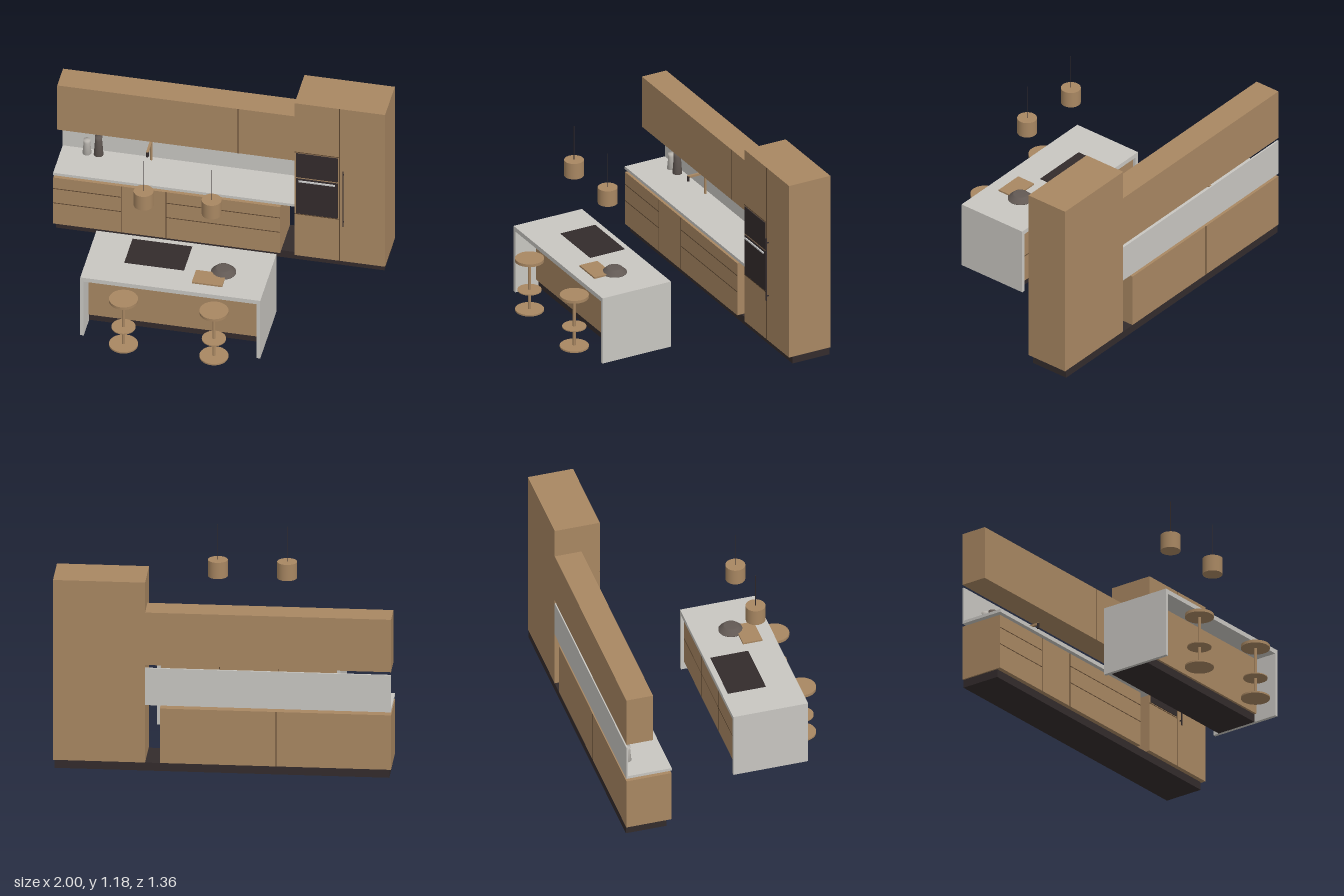
import * as THREE from 'three';

export function createModel() {
  const root = new THREE.Group();
  const mat = (name, color, extra = {}) => {
    const m = new THREE.MeshStandardMaterial({ color, ...extra });
    m.name = name;
    return m;
  };
  const wood = mat('wood', 0xa88762);
  const seam = mat('seam', 0x5c4630);
  const stone = mat('stone', 0xc8c6c1);
  const dark = mat('dark', 0x332b2c);
  const clay = mat('clay', 0x625954);
  const ceramic = mat('ceramic', 0xb8b4ae);
  const steel = mat('steel', 0xc9c9c9);

  const add = (name, geometry, material, parent = root) => {
    const mesh = new THREE.Mesh(geometry, material);
    mesh.name = name;
    parent.add(mesh);
    return mesh;
  };
  // Box given by its minimum and maximum on each axis
  const box = (name, m, x0, x1, y0, y1, z0, z1, parent = root) => {
    const mesh = add(name, new THREE.BoxGeometry(x1 - x0, y1 - y0, z1 - z0), m, parent);
    mesh.position.set((x0 + x1) / 2, (y0 + y1) / 2, (z0 + z1) / 2);
    return mesh;
  };
  // Upright cylinder or cone standing between two heights
  const cyl = (name, m, x, z, y0, y1, rBottom, rTop = rBottom, parent = root) => {
    const mesh = add(name, new THREE.CylinderGeometry(rTop, rBottom, y1 - y0, 32), m, parent);
    mesh.position.set(x, (y0 + y1) / 2, z);
    return mesh;
  };
  // Thin joint lines lying on a face at depth z
  const T = 0.0025, D = 0.001;
  const vSeam = (x, y0, y1, z) => box('verticalJoint', seam, x - T, x + T, y0, y1, z - D, z + D);
  const hSeam = (y, x0, x1, z) => box('horizontalJoint', seam, x0, x1, y - T, y + T, z - D, z + D);

  // Wall run: plinth, base cabinets, worktop, splashback and wall cabinets
  box('wallPlinth', dark, -0.99, 0.99, 0, 0.05, -0.68, -0.43);
  box('baseCabinetLeft', wood, -1, -0.32, 0.05, 0.393, -0.68, -0.402);
  box('baseCabinetRight', wood, -0.32, 0.368, 0.05, 0.393, -0.68, -0.402);
  box('worktop', stone, -1, 0.455, 0.412, 0.43, -0.68, -0.4);
  box('splashback', stone, -1, 0.455, 0.43, 0.645, -0.68, -0.67);
  box('wallCabinets', wood, -1, 0.455, 0.665, 0.995, -0.68, -0.515);
  vSeam(-0.59, 0.05, 0.393, -0.402);
  vSeam(-0.32, 0.05, 0.393, -0.402);
  vSeam(-0.32, 0.05, 0.393, -0.68);
  for (const y of [0.205, 0.312]) {
    hSeam(y, -1, -0.59, -0.402);
    hSeam(y, -0.32, 0.368, -0.402);
  }
  vSeam(0.09, 0.665, 0.995, -0.515);

  // Tall units with built-in ovens
  box('tallUnit', wood, 0.455, 1, 0.05, 1.183, -0.68, -0.402);
  vSeam(0.725, 0.05, 1.183, -0.402);
  hSeam(0.82, 0.455, 0.725, -0.402);
  hSeam(0.36, 0.455, 0.725, -0.402);
  box('upperOven', dark, 0.465, 0.715, 0.637, 0.813, -0.404, -0.397);
  box('lowerOven', dark, 0.465, 0.715, 0.367, 0.626, -0.404, -0.397);
  box('ovenHandle', steel, 0.48, 0.7, 0.607, 0.616, -0.397, -0.389);
  cyl('tallHandle', dark, 0.75, -0.387, 0.32, 0.73, 0.004);
  for (const y of [0.35, 0.7]) box('handleMount', dark, 0.747, 0.753, y - 0.003, y + 0.003, -0.402, -0.387);

  // Tap
  const tap = new THREE.Group();
  tap.name = 'tap';
  root.add(tap);
  cyl('tapPost', wood, -0.46, -0.645, 0.43, 0.575, 0.008, 0.008, tap);
  box('tapSpout', wood, -0.467, -0.453, 0.562, 0.575, -0.645, -0.525, tap);
  cyl('tapNozzle', dark, -0.46, -0.53, 0.54, 0.573, 0.0085, 0.0085, tap);

  // Bottles on the worktop
  const bottle = (name, m, x, h, r) => {
    const pts = [[0, 0], [r, 0], [r * 0.72, h * 0.8], [r * 0.78, h], [0, h]];
    const mesh = add(name, new THREE.LatheGeometry(pts.map(p => new THREE.Vector2(...p)), 24), m);
    mesh.position.set(x, 0.43, -0.63);
  };
  bottle('paleBottle', ceramic, -0.845, 0.1, 0.027);
  bottle('darkBottle', clay, -0.775, 0.135, 0.029);

  // Island with stone ends
  box('islandTop', stone, -0.635, 0.45, 0.402, 0.43, 0.09, 0.55);
  box('islandEndRight', stone, -0.635, -0.614, 0, 0.402, 0.09, 0.55);
  box('islandEndLeft', stone, 0.429, 0.45, 0, 0.402, 0.09, 0.55);
  box('islandBody', wood, -0.614, 0.429, 0.05, 0.402, 0.11, 0.41);
  box('islandPlinth', dark, -0.614, 0.429, 0, 0.05, 0.13, 0.395);
  for (const i of [1, 2]) vSeam(-0.614 + i * 1.043 / 3, 0.05, 0.402, 0.11);
  hSeam(0.225, -0.614, 0.429, 0.11);
  box('cooktop', dark, -0.41, -0.05, 0.43, 0.433, 0.125, 0.358);
  box('choppingBoard', wood, 0.02, 0.203, 0.43, 0.44, 0.348, 0.468);

  // Bowl, wide below and narrow above
  const bowlPts = [[0, 0], [0.075, 0], [0.075, 0.003], [0.047, 0.03], [0.04, 0.033], [0, 0.033]];
  add('bowl', new THREE.LatheGeometry(bowlPts.map(p => new THREE.Vector2(...p)), 32), clay)
    .position.set(0.18, 0.43, 0.322);

  // Stools
  for (const x of [-0.365, 0.18]) {
    const stool = new THREE.Group();
    stool.name = 'stool';
    root.add(stool);
    cyl('stoolBase', wood, x, 0.592, 0.004, 0.014, 0.086, 0.086, stool);
    cyl('stoolColumn', wood, x, 0.592, 0.014, 0.33, 0.009, 0.009, stool);
    cyl('footrest', wood, x, 0.592, 0.135, 0.141, 0.072, 0.072, stool);
    cyl('stoolSeat', wood, x, 0.592, 0.33, 0.348, 0.086, 0.086, stool);
  }

  // Pendant lamps
  for (const x of [-0.3, 0.11]) {
    const lamp = new THREE.Group();
    lamp.name = 'pendantLamp';
    root.add(lamp);
    cyl('lampShade', wood, x, 0.328, 0.86, 0.962, 0.059, 0.059, lamp);
    cyl('lampCord', dark, x, 0.328, 0.962, 1.183, 0.002, 0.002, lamp);
  }
  return root;
}
